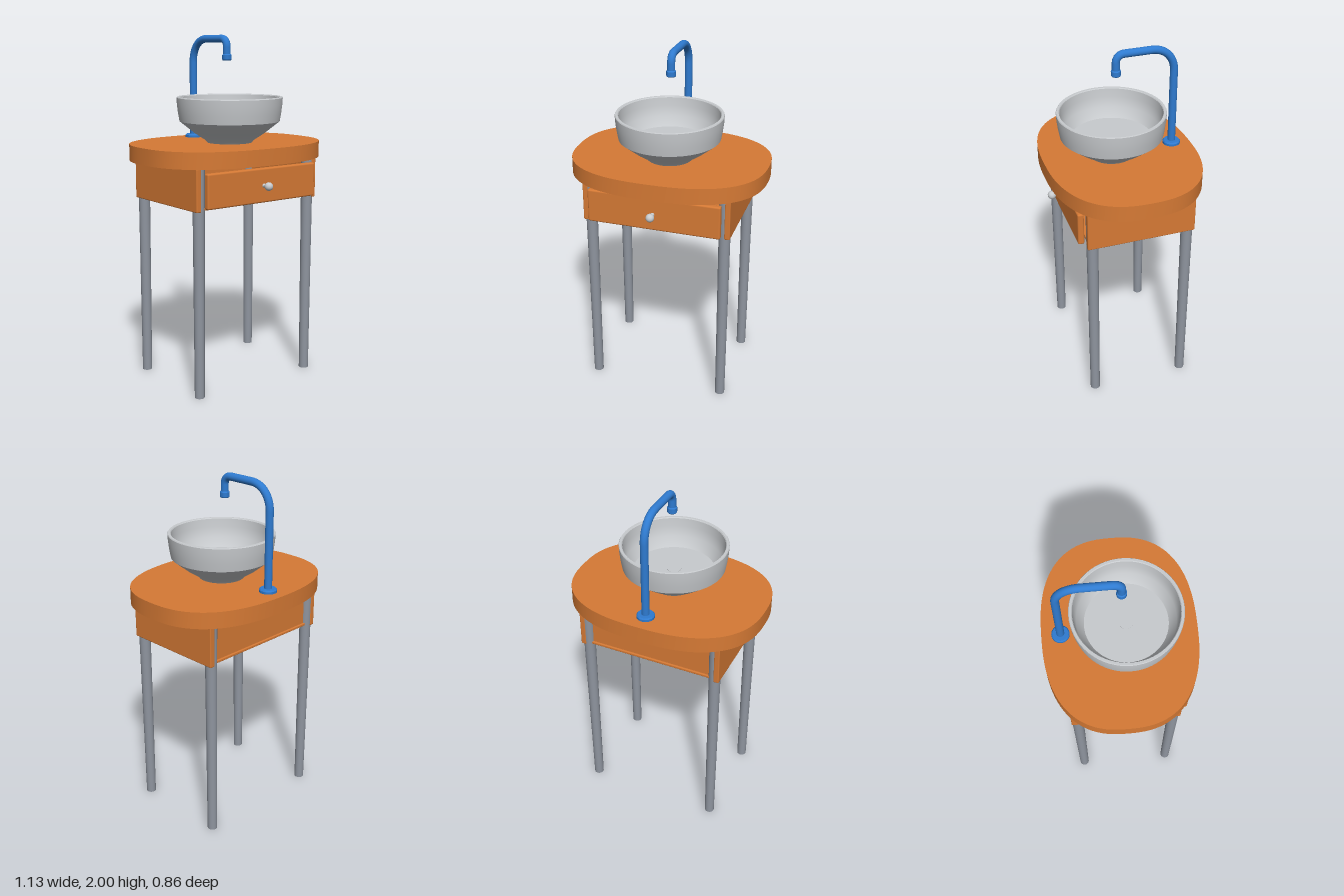
import * as THREE from 'three';
import { toCreasedNormals } from 'three/addons/utils/BufferGeometryUtils.js';
import { RoundedBoxGeometry } from 'three/addons/geometries/RoundedBoxGeometry.js';

const material = (name, color) => {
  const m = new THREE.MeshStandardMaterial({ color });
  m.name = name;
  return m;
};

export function createModel() {
  const group = new THREE.Group();
  const wood = material('orange wood', 0xd67a35);
  const ceramic = material('pale ceramic', 0xc8cbce);
  const steel = material('grey metal', 0x8f959f);
  const blue = material('blue tap', 0x2f7bd0);

  const add = (name, geometry, mat, x = 0, y = 0, z = 0) => {
    const mesh = new THREE.Mesh(geometry, mat);
    mesh.name = name;
    mesh.position.set(x, y, z);
    group.add(mesh);
    return mesh;
  };
  const lathe = (pts, segments = 48) => toCreasedNormals(
    new THREE.LatheGeometry(pts.map(p => new THREE.Vector2(...p)), segments), 0.5);
  const board = (name, w, h, d, x, y, z, r = 0.006) =>
    add(name, new RoundedBoxGeometry(w, h, d, 2, r), wood, x, y, z);

  // Countertop: a disc pushed out to a rounded superellipse
  const top = new THREE.CylinderGeometry(1, 1, 0.093, 96);
  const pos = top.attributes.position;
  const bulge = v => Math.sign(v) * Math.pow(Math.abs(v), 2 / 2.5);
  for (let i = 0; i < pos.count; i++) {
    pos.setX(i, 0.565 * bulge(pos.getX(i)));
    pos.setZ(i, 0.43 * bulge(pos.getZ(i)));
  }
  add('countertop', toCreasedNormals(top, 0.6), wood, 0, 1.3435, 0);

  // Tapered legs and side panels
  for (const x of [-1, 1]) {
    for (const z of [-1, 1]) {
      add(z > 0 ? 'frontLeg' : 'backLeg',
        new THREE.CylinderGeometry(0.034, 0.028, 1.3, 24), steel, x * 0.391, 0.65, z * 0.275);
    }
    board('sidePanel', 0.032, 0.237, 0.62, x * 0.412, 1.18, 0);
  }

  // Cabinet bottom, back panel and drawer front
  board('cabinetBottom', 0.8, 0.016, 0.59, 0, 1.074, 0, 0.004);
  board('backPanel', 0.78, 0.2, 0.02, 0, 1.175, -0.275);
  board('drawerFront', 0.766, 0.195, 0.036, 0, 1.175, 0.333, 0.01);

  // Drawer knob: stem and ball
  const knob = lathe([[0, 0], [0.012, 0], [0.008, 0.012], [0.008, 0.035]], 20);
  knob.rotateX(Math.PI / 2);
  add('knobStem', knob, ceramic, 0, 1.175, 0.35);
  add('knobBall', new THREE.SphereGeometry(0.024, 24, 16), ceramic, 0, 1.175, 0.394);

  // Basin, outer wall up to the rim and inner wall down to the floor
  add('basin', lathe([
    [0, 1.39], [0.13, 1.39], [0.14, 1.403], [0.205, 1.446], [0.289, 1.513], [0.297, 1.56],
    [0.303, 1.61], [0.305, 1.647], [0.302, 1.652], [0.289, 1.652], [0.285, 1.647],
    [0.28, 1.6], [0.268, 1.54], [0.229, 1.487], [0, 1.487],
  ], 64), ceramic, 0, 0, 0.037);
  add('drain', new THREE.CylinderGeometry(0.04, 0.04, 0.006, 32), ceramic, 0, 1.487, 0.037);

  // Tap: base flange, bent pipe and nozzle collar
  add('tapBase', lathe([[0, 0], [0.05, 0], [0.05, 0.013], [0.044, 0.02], [0, 0.02]], 32),
    blue, 0, 1.39, -0.324);
  const v = (y, z) => new THREE.Vector3(0, y, z);
  const pipe = new THREE.CurvePath();
  pipe.add(new THREE.LineCurve3(v(1.39, -0.324), v(1.84, -0.324)));
  pipe.add(new THREE.CubicBezierCurve3(v(1.84, -0.324), v(1.92, -0.324), v(1.978, -0.27), v(1.978, -0.19)));
  pipe.add(new THREE.LineCurve3(v(1.978, -0.19), v(1.978, -0.035)));
  pipe.add(new THREE.CubicBezierCurve3(v(1.978, -0.035), v(1.978, -0.008), v(1.958, 0.011), v(1.93, 0.011)));
  pipe.add(new THREE.LineCurve3(v(1.93, 0.011), v(1.87, 0.011)));
  add('tapPipe', new THREE.TubeGeometry(pipe, 96, 0.022, 20), blue);
  add('tapNozzle', lathe([[0, 0], [0.024, 0], [0.027, 0.004], [0.027, 0.03], [0.022, 0.036]], 24),
    blue, 0, 1.856, 0.011);

  return group;
}
